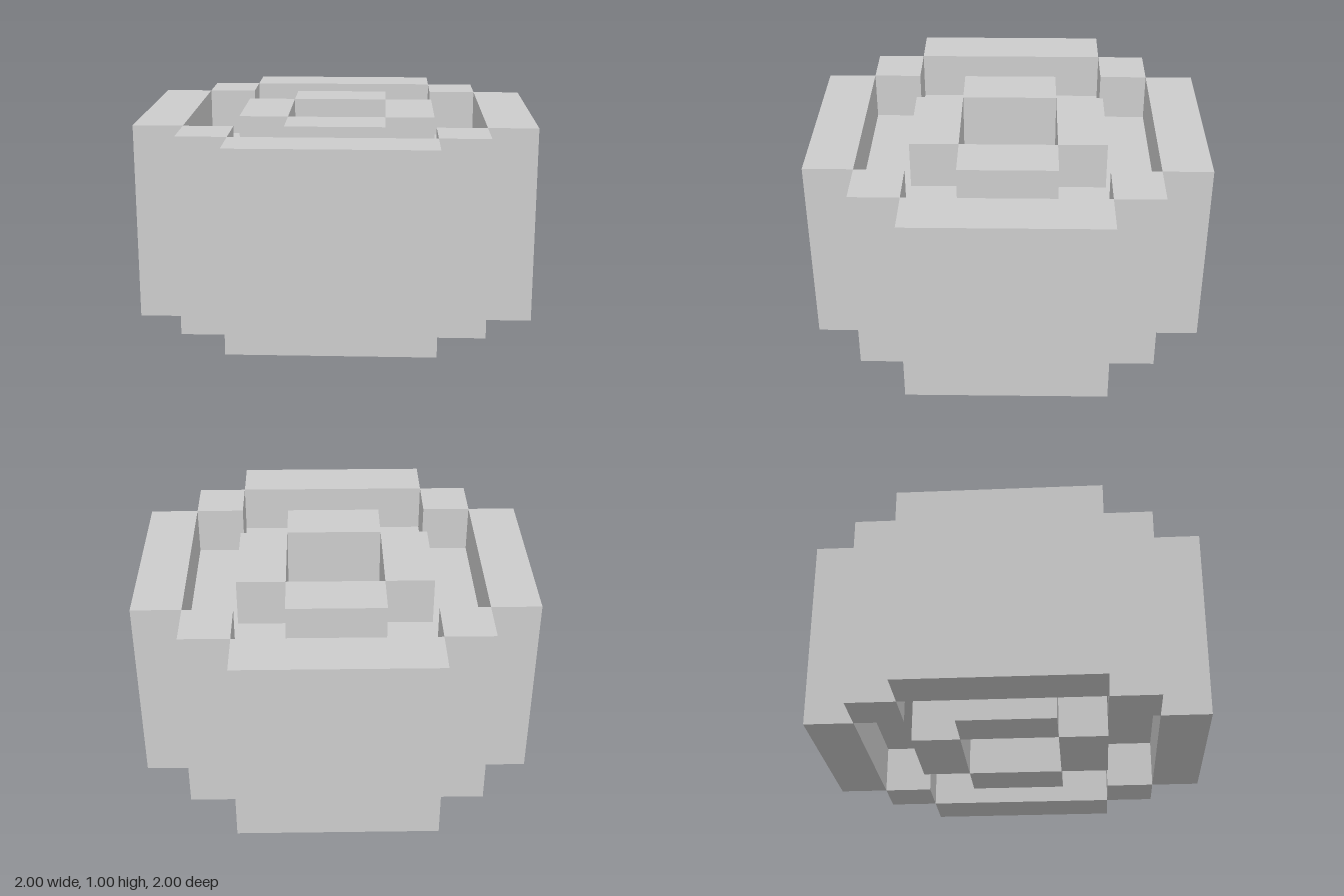
import * as THREE from 'three';

const material = new THREE.MeshStandardMaterial({ color: 0xcccccc, flatShading: true });

// Corners of a plus-shaped outline: arms reach `a`, arms are 2 * `b` wide
function plusPoints(a, b) {
  return [
    [a, -b], [a, b], [b, b], [b, a], [-b, a], [-b, b],
    [-a, b], [-a, -b], [-b, -b], [-b, -a], [b, -a], [b, -b],
  ].map(([x, y]) => new THREE.Vector2(x, y));
}

export function createModel() {
  const group = new THREE.Group();

  // Full-height block standing on the ground
  function block(name, width, depth, x, z, turn = 0) {
    const mesh = new THREE.Mesh(new THREE.BoxGeometry(width, 1, depth), material);
    mesh.name = name;
    mesh.position.set(x, 0.5, z);
    mesh.rotation.y = turn;
    group.add(mesh);
  }

  for (let i = 0; i < 4; i++) {
    const turn = (i * Math.PI) / 2;
    const sx = Math.round(Math.sin(turn));
    const sz = Math.round(Math.cos(turn));

    // Outer walls and the short blocks around the central opening
    block('outerWall', 1, 0.25, sx * 0.875, sz * 0.875, turn);
    block('innerBlock', 0.5, 0.25, sx * 0.375, sz * 0.375, turn);

    // Square posts joining the walls at the corners
    const px = i % 2 ? 1 : -1;
    const pz = i < 2 ? 1 : -1;
    block('cornerPost', 0.25, 0.25, px * 0.625, pz * 0.625);
  }

  // Recessed slab between the walls and the inner blocks
  const outline = new THREE.Shape(plusPoints(0.75, 0.5));
  outline.holes.push(new THREE.Path(plusPoints(0.5, 0.25)));
  const slabGeometry = new THREE.ExtrudeGeometry(outline, { depth: 0.5, bevelEnabled: false });
  slabGeometry.rotateX(-Math.PI / 2);
  const slab = new THREE.Mesh(slabGeometry, material);
  slab.name = 'recessedSlab';
  slab.position.y = 0.25;
  group.add(slab);

  return group;
}
